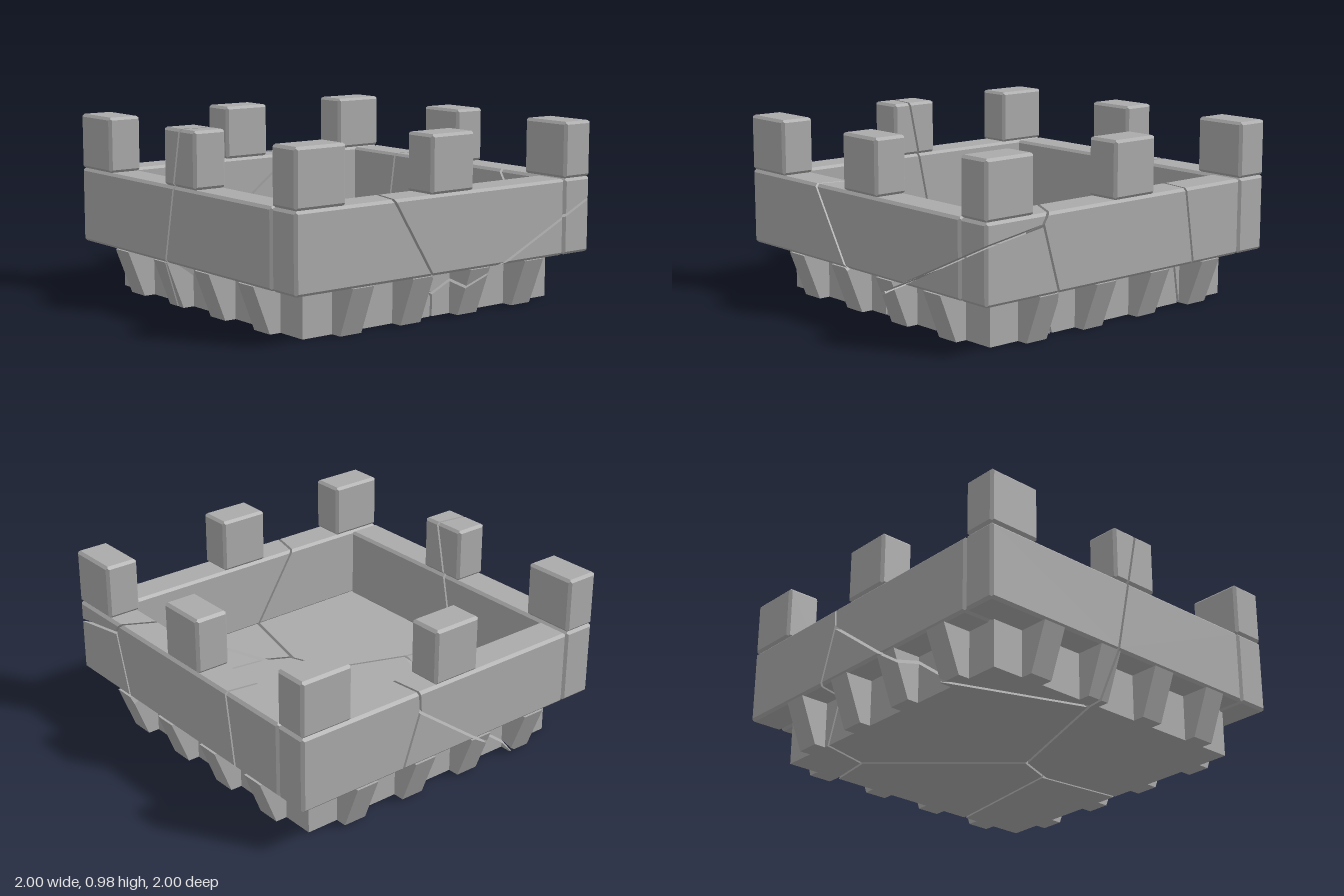
import * as THREE from 'three';

const GAP = 0.007;   // half the width of a crack
const BEVEL = 0.015; // edge chamfer of walls and merlons

// A solid is a list of planes { n, d }; its inside is n . p <= d.
const plane = (x, y, z, d) => {
  const n = new THREE.Vector3(x, y, z), l = n.length();
  return { n: n.divideScalar(l), d: d / l };
};

// Axis-aligned block, optionally with chamfered edges
function block(min, max, bevel = 0) {
  const out = [], axes = [[1, 0, 0], [0, 1, 0], [0, 0, 1]];
  const limit = (a, s) => (s > 0 ? max[a] : -min[a]);
  for (let a = 0; a < 3; a++) {
    for (const s of [-1, 1]) {
      out.push(plane(...axes[a].map(v => v * s), limit(a, s)));
      if (!bevel) continue;
      const b = (a + 1) % 3;
      for (const t of [-1, 1]) {
        const n = [0, 0, 0];
        n[a] = s;
        n[b] = t;
        out.push(plane(...n, limit(a, s) + limit(b, t) - bevel));
      }
    }
  }
  return out;
}

// Quarter turns about the vertical axis: front -> right -> back -> left
function turn(solid, times) {
  return solid.map(({ n, d }) => {
    const m = n.clone();
    for (let i = 0; i < times; i++) m.set(m.z, m.y, -m.x);
    return { n: m, d };
  });
}

// Crack planes: two neighbouring stones, normal from first to second, a point on it
const cracks = [
  ['A', 'B', [0.15, 0.21, -1], [-0.81, 0.27, -0.11]],
  ['A', 'C', [0.366, -0.05, -1], [-0.48, 0.27, -0.06]],
  ['A', 'E', [1, 0.083, -0.4], [0.03, 0.27, 0.34]],
  ['A', 'F', [1, 0.63, 0.24], [-0.14, 0.27, 1]],
  ['A', 'G', [1, 0, 0.11], [0, 0.1, 0.835]],
  ['B', 'C', [1, -1.35, 0.36], [-0.48, 0.27, -0.06]],
  ['B', 'D', [1, -0.077, -0.1], [0.27, 0.67, -0.81]],
  ['C', 'D', [1, 0.35, -0.276], [0.4, 0.27, -0.81]],
  ['C', 'E', [1.11, 0.22, 1], [-0.07, 0.27, 0.09]],
  ['D', 'E', [-0.15, -0.16, 1], [0.48, 0.27, -0.52]],
  ['E', 'F', [-0.53, 0.63, 1], [1, 0.67, 0.6]],
  ['E', 'G', [-0.138, -0.295, 1], [1, 0.27, 0.53]],
  ['F', 'G', [0.46, -1, -0.15], [1, 0.555, 1]],
];
const cells = {};
for (const [i, j, n, p] of cracks) {
  const dot = n[0] * p[0] + n[1] * p[1] + n[2] * p[2];
  const lower = plane(...n, dot);
  const upper = plane(-n[0], -n[1], -n[2], -dot);
  lower.d -= GAP;
  upper.d -= GAP;
  (cells[i] ??= []).push(lower);
  (cells[j] ??= []).push(upper);
}

// Flat-shaded convex geometry from planes, or null when nothing is left
function solidGeometry(planes) {
  const points = [], cross = new THREE.Vector3();
  for (let i = 0; i < planes.length; i++) {
    for (let j = i + 1; j < planes.length; j++) {
      for (let k = j + 1; k < planes.length; k++) {
        const [a, b, c] = [planes[i], planes[j], planes[k]];
        const det = a.n.dot(cross.crossVectors(b.n, c.n));
        if (Math.abs(det) < 1e-6) continue;
        const p = cross.clone().multiplyScalar(a.d)
          .addScaledVector(new THREE.Vector3().crossVectors(c.n, a.n), b.d)
          .addScaledVector(new THREE.Vector3().crossVectors(a.n, b.n), c.d)
          .divideScalar(det);
        if (planes.some(q => q.n.dot(p) > q.d + 1e-6)) continue;
        if (!points.some(q => q.distanceTo(p) < 1e-5)) points.push(p);
      }
    }
  }
  if (points.length < 4) return null;
  const position = [];
  for (const { n, d } of planes) {
    const face = points.filter(p => Math.abs(n.dot(p) - d) < 1e-5);
    if (face.length < 3) continue;
    const centre = face.reduce((s, p) => s.add(p), new THREE.Vector3()).divideScalar(face.length);
    const u = face[0].clone().sub(centre).normalize();
    const v = new THREE.Vector3().crossVectors(n, u);
    const angle = p => {
      const r = p.clone().sub(centre);
      return Math.atan2(r.dot(v), r.dot(u));
    };
    face.sort((p, q) => angle(p) - angle(q));
    for (let i = 1; i < face.length - 1; i++) {
      for (const p of [face[0], face[i], face[i + 1]]) position.push(p.x, p.y, p.z);
    }
  }
  const geometry = new THREE.BufferGeometry();
  geometry.setAttribute('position', new THREE.Float32BufferAttribute(position, 3));
  geometry.computeVertexNormals();
  return geometry;
}

export function createModel() {
  const model = new THREE.Group();
  model.name = 'crackedBattlement';
  const stone = new THREE.MeshStandardMaterial({ color: 0xaaaaaa });
  stone.name = 'grey stone';

  // Splits a part along the cracks and adds its pieces as one group
  function addPart(name, solid) {
    const part = new THREE.Group();
    part.name = name;
    for (const [key, cell] of Object.entries(cells)) {
      const geometry = solidGeometry([...solid, ...cell]);
      if (!geometry) continue;
      const mesh = new THREE.Mesh(geometry, stone);
      mesh.name = `${name}Piece${key}`;
      part.add(mesh);
    }
    model.add(part);
  }

  // Floor slab
  addPart('floor', block([-0.835, 0, -0.835], [0.835, 0.262, 0.835]));

  ['front', 'right', 'back', 'left'].forEach((side, i) => {
    // Parapet walls meet like a pinwheel at the corners
    addPart(`${side}Wall`, turn(block([-1, 0.255, 0.805], [0.805, 0.67, 1], BEVEL), i));
    // Corner and middle merlons
    addPart(`${side}CornerMerlon`, turn(block([-1, 0.67, 0.805], [-0.69, 0.975, 1], BEVEL), i));
    addPart(`${side}MiddleMerlon`, turn(block([-0.145, 0.67, 0.805], [0.145, 0.975, 1], BEVEL), i));
    // Corbels lean outward under the wall
    for (const x of [-0.585, -0.195, 0.195, 0.585]) {
      const corbel = block([x - 0.067, 0, 0.835], [x + 0.067, 0.255, 1.1]);
      corbel.push(plane(0, -0.1 / 0.255, 1, 0.9));
      addPart(`${side}Corbel`, turn(corbel, i));
    }
  });
  return model;
}
